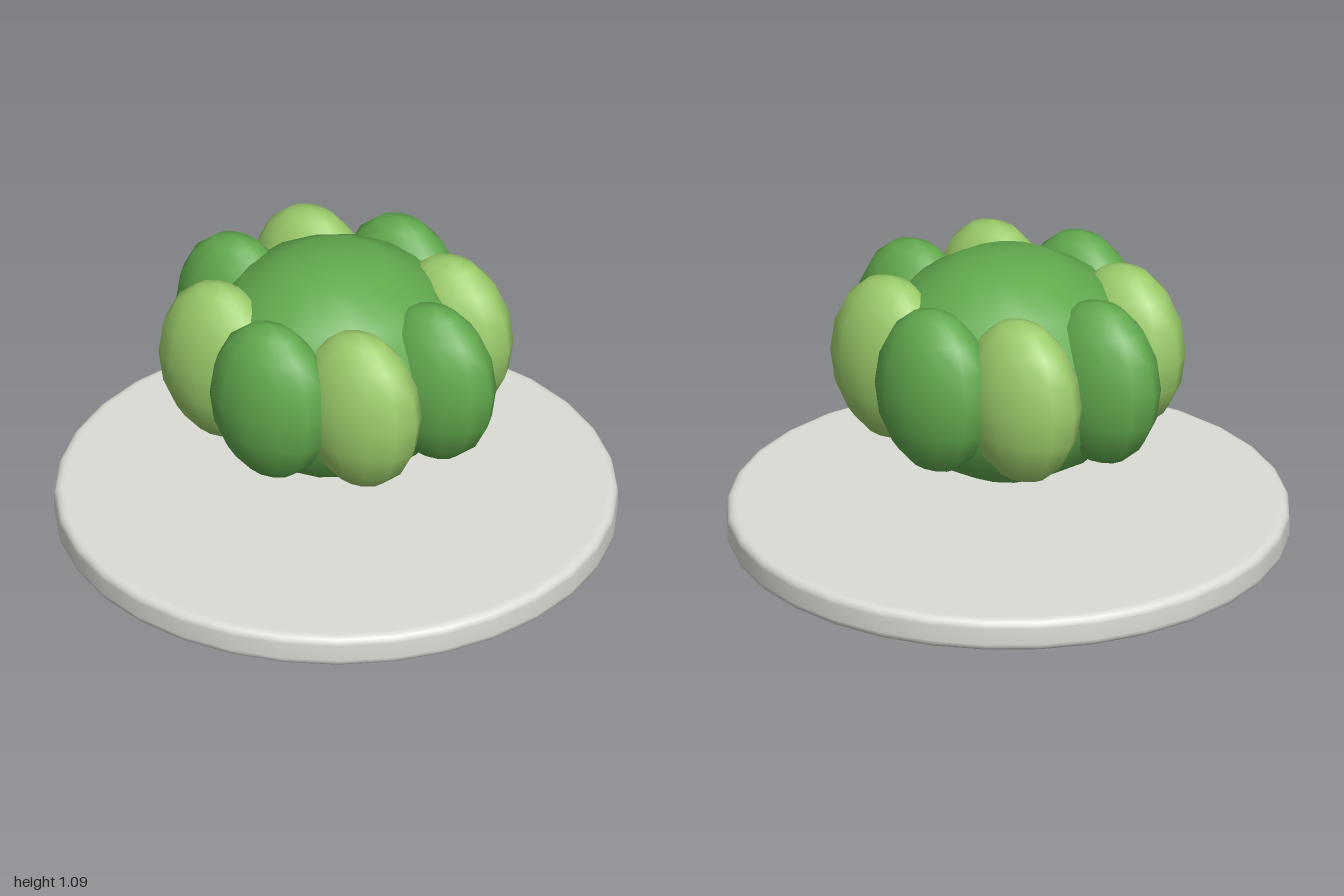
import * as THREE from 'three';

const DARK = 0x62aa4e, LIGHT = 0x9ccc6a, PLATE = 0xdcdcd6;

// Ellipsoid with a faceted outline and smooth normals
function ellipsoid(name, color, sides, [rx, ry, rz], [x, y, z]) {
  const geometry = new THREE.SphereGeometry(1, sides, 8).scale(rx, ry, rz);
  const mesh = new THREE.Mesh(geometry, new THREE.MeshStandardMaterial({ color }));
  mesh.name = name;
  mesh.position.set(x, y, z);
  return mesh;
}

// Round plate with softened rims
function createPlate() {
  const height = 0.12, bevel = 0.03, steps = 4;
  const profile = [new THREE.Vector2(0, 0), new THREE.Vector2(0.96, 0)];
  for (const [cy, start] of [[bevel, -Math.PI / 2], [height - bevel, 0]]) {
    for (let i = 0; i <= steps; i++) {
      const a = start + (i / steps) * Math.PI / 2;
      profile.push(new THREE.Vector2(1 - bevel + bevel * Math.cos(a), cy + bevel * Math.sin(a)));
    }
  }
  profile.push(new THREE.Vector2(0.96, height), new THREE.Vector2(0, height));
  const plate = new THREE.Mesh(
    new THREE.LatheGeometry(profile, 32),
    new THREE.MeshStandardMaterial({ color: PLATE })
  );
  plate.name = 'plate';
  return plate;
}

export function createModel() {
  const model = new THREE.Group();
  model.name = 'ribbedPlant';
  model.add(createPlate());

  // Central body floating above the plate
  model.add(ellipsoid('core', DARK, 16, [0.48, 0.42, 0.48], [0, 0.67, 0]));

  // Ring of eight lobes in alternating greens, all stretched along x
  const lobes = new THREE.Group();
  lobes.name = 'lobes';
  for (let i = 0; i < 8; i++) {
    const a = (i / 8) * Math.PI * 2;
    const position = [0.42 * Math.cos(a), 0.715, 0.42 * Math.sin(a)];
    lobes.add(ellipsoid('lobe' + (i + 1), i % 2 ? LIGHT : DARK, 12, [0.24, 0.31, 0.16], position));
  }
  model.add(lobes);
  return model;
}
